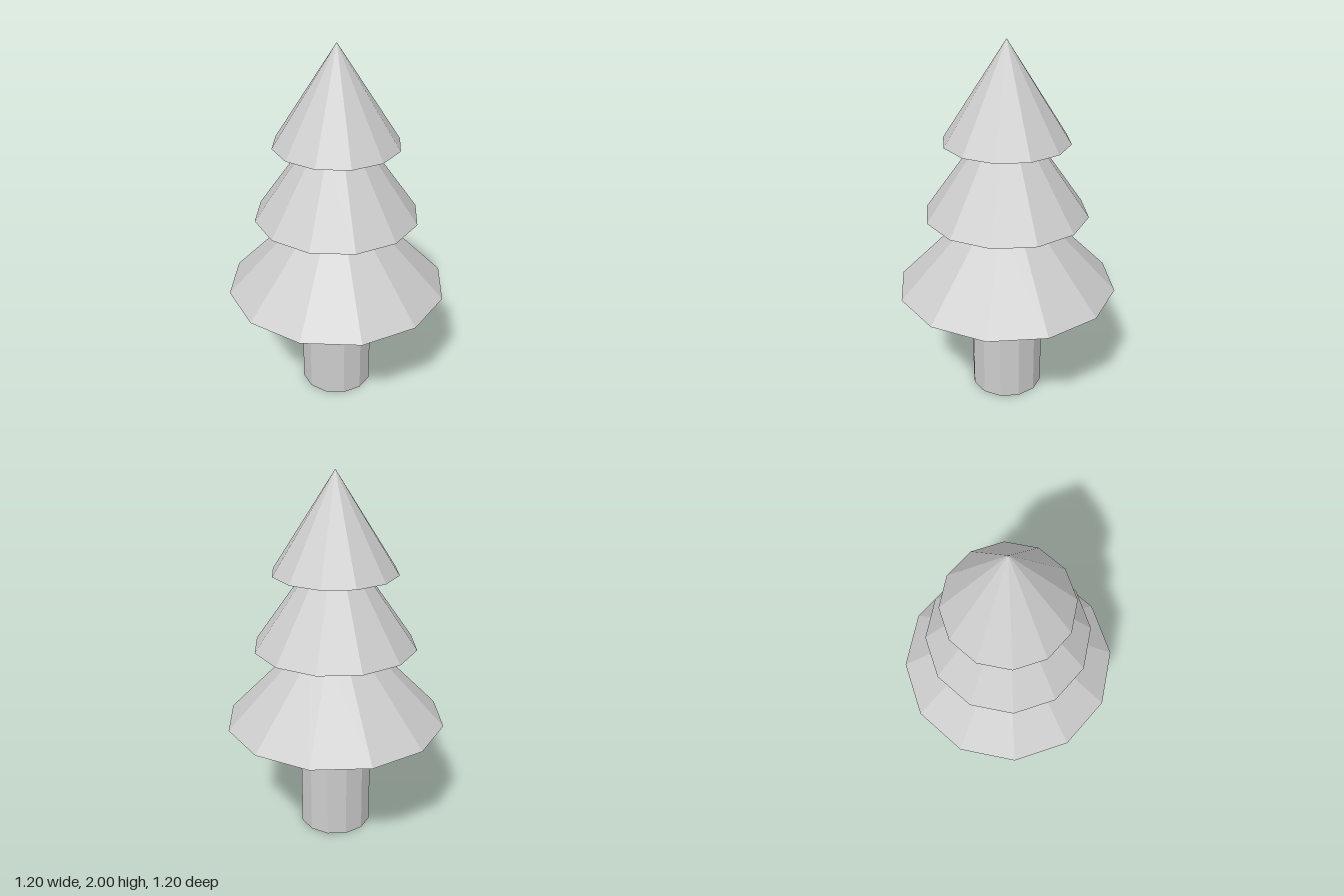
import * as THREE from 'three';

const SIDES = 12;

export function createModel() {
  const tree = new THREE.Group();
  tree.name = 'pineTree';
  const material = new THREE.MeshStandardMaterial({ color: 0xcccccc, flatShading: true });

  const addPart = (name, profile) => {
    const points = profile.map(([r, y]) => new THREE.Vector2(r, y));
    const mesh = new THREE.Mesh(new THREE.LatheGeometry(points, SIDES), material);
    mesh.name = name;
    tree.add(mesh);
  };

  // Trunk: a closed base and straight sides, meeting the lowest branches
  addPart('trunk', [[0, 0], [0.2, 0], [0.2, 0.6]]);

  // Foliage tiers: underside from the inner edge to the rim, then the slope up
  addPart('lowerFoliage', [[0.2, 0.6], [0.6, 0.65], [0.185, 1.08]]);
  addPart('middleFoliage', [[0.185, 1.08], [0.44, 1.08], [0.16, 1.48]]);
  addPart('topFoliage', [[0.16, 1.48], [0.335, 1.48], [0, 2]]);

  return tree;
}
